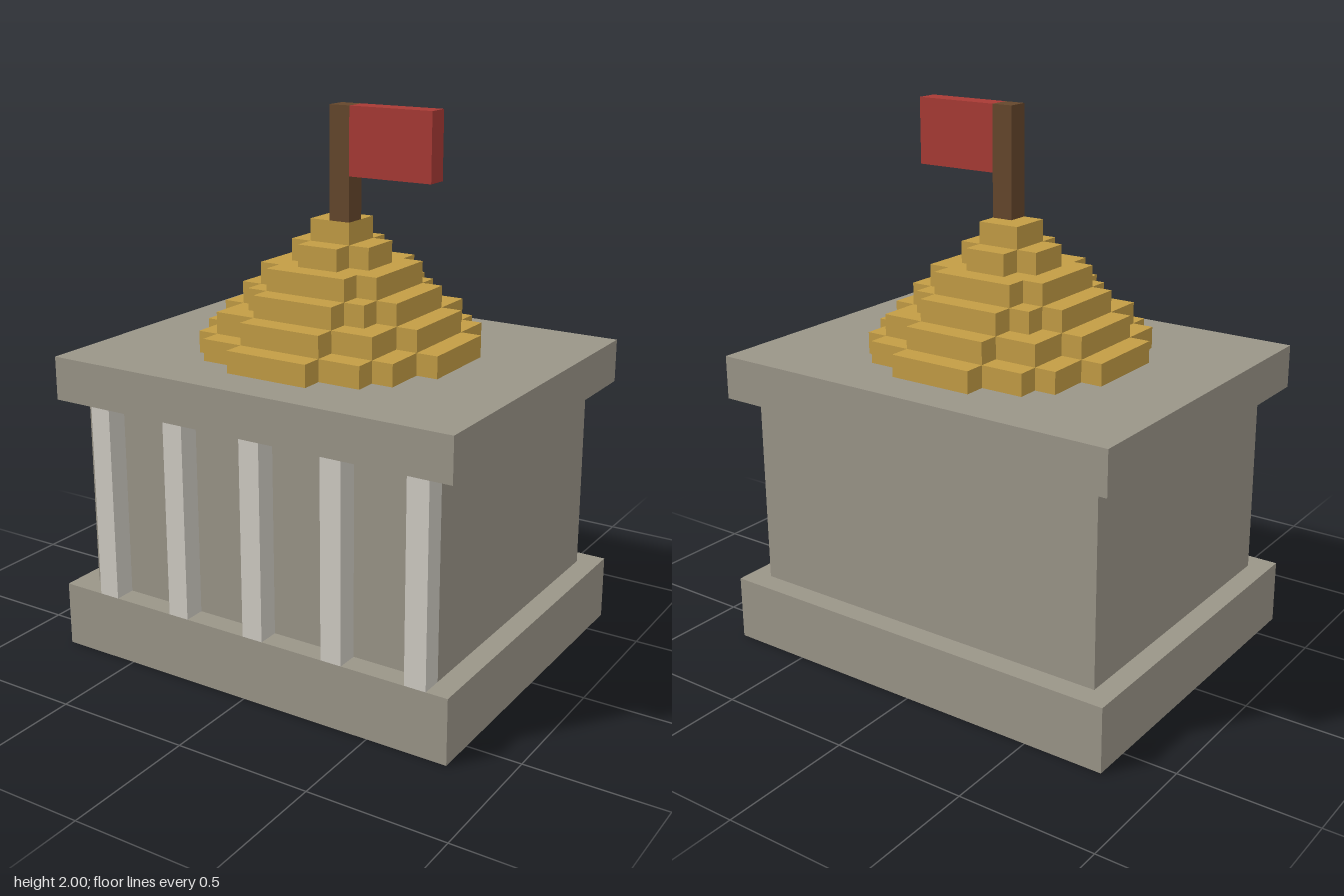
import * as THREE from 'three';

const U = 0.08; // block size

function material(name, color) {
  const m = new THREE.MeshStandardMaterial({ color });
  m.name = name;
  return m;
}

// Stepped disc, one block thick, with a radius of r blocks
function steppedDisc(r) {
  const quarter = [];
  let last = -1;
  for (let row = 0; row < r; row++) {
    let w = 0;
    while ((w + 0.5) ** 2 + (row + 0.5) ** 2 <= r * r) w++;
    if (w !== last) quarter.push([w, row]);
    quarter.push([w, row + 1]);
    last = w;
  }
  const outline = [];
  for (let q = 0, pts = quarter; q < 4; q++) {
    outline.push(...pts.map(([x, y]) => new THREE.Vector2(x * U, y * U)));
    pts = pts.map(([x, y]) => [-y, x]);
  }
  const geo = new THREE.ExtrudeGeometry(new THREE.Shape(outline), { depth: U, bevelEnabled: false });
  return geo.rotateX(-Math.PI / 2);
}

export function createModel() {
  const stone = material('stone', 0x9a9588);
  const paleStone = material('pale stone', 0xd0ccc4);
  const gold = material('gold', 0xc39d45);
  const wood = material('dark wood', 0x65472c);
  const red = material('red cloth', 0xa83a35);

  const model = new THREE.Group();
  model.name = 'domedHall';

  // Box given by its lowest and highest corners, in blocks
  function block(name, mat, [x0, y0, z0], [x1, y1, z1], parent = model) {
    const mesh = new THREE.Mesh(new THREE.BoxGeometry((x1 - x0) * U, (y1 - y0) * U, (z1 - z0) * U), mat);
    mesh.position.set((x0 + x1) / 2 * U, (y0 + y1) / 2 * U, (z0 + z1) / 2 * U);
    mesh.name = name;
    parent.add(mesh);
  }

  // Building
  block('base', stone, [-10, 0, -8], [10, 3, 8]);
  block('walls', stone, [-9, 3, -7], [9, 12, 7]);
  block('roofSlab', stone, [-10, 12, -8], [10, 14, 8]);

  // Row of columns along the front
  const columns = new THREE.Group();
  columns.name = 'columns';
  for (let x = -8; x <= 8; x += 4) block('column', paleStone, [x, 3, 7], [x + 1, 12, 8], columns);
  model.add(columns);

  // Stepped dome, shrinking by one block per layer
  const dome = new THREE.Group();
  dome.name = 'dome';
  for (let i = 0; i < 6; i++) {
    const layer = new THREE.Mesh(steppedDisc(6 - i), gold);
    layer.name = 'domeLayer';
    layer.position.y = (14 + i) * U;
    dome.add(layer);
  }
  model.add(dome);

  // Flag on its pole
  block('flagpole', wood, [0, 20, 0], [1, 25, 1]);
  block('flag', red, [1, 22, 0], [5, 25, 1]);

  return model;
}
